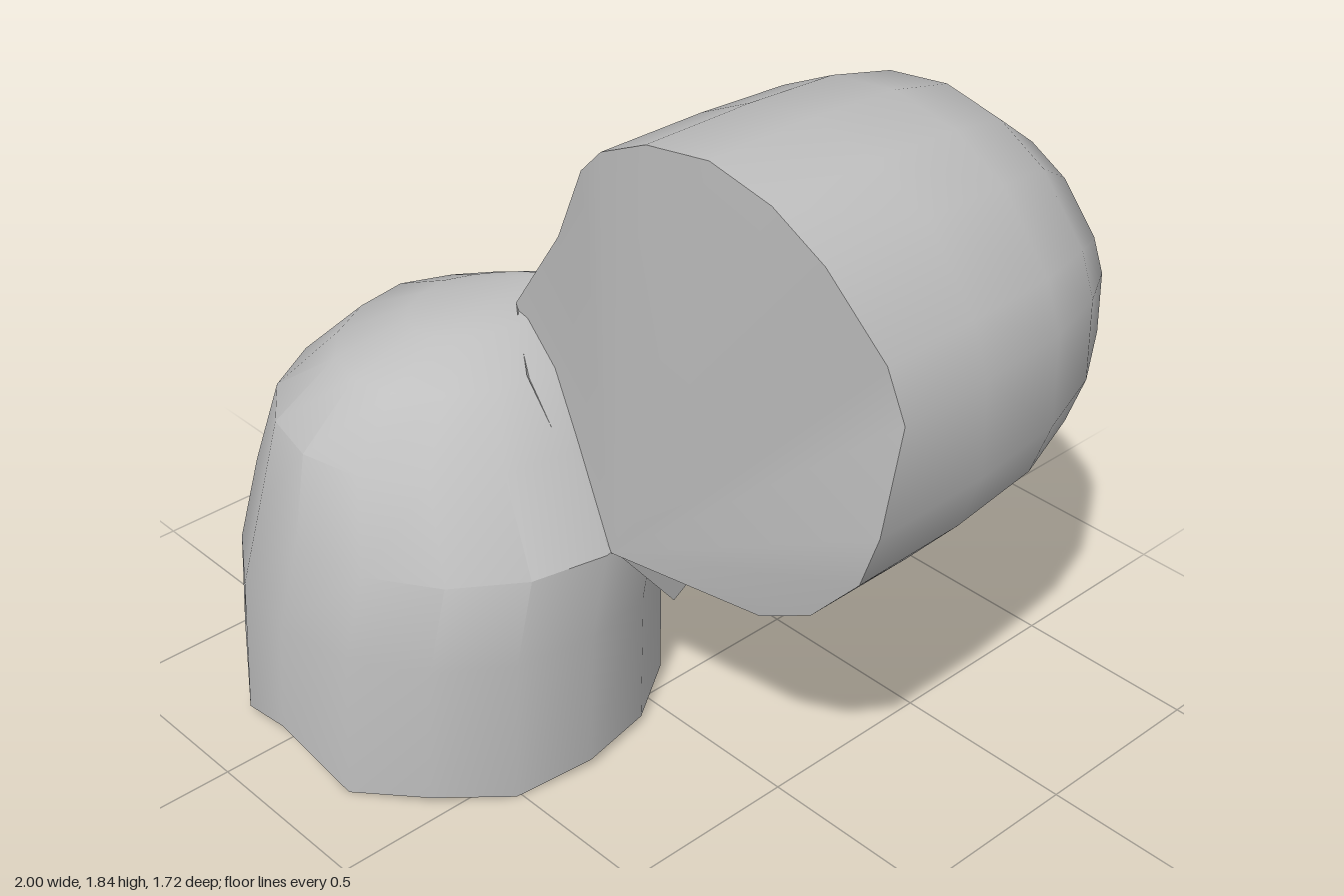
import * as THREE from 'three';
import { toCreasedNormals } from 'three/addons/utils/BufferGeometryUtils.js';
import { ConvexGeometry } from 'three/addons/geometries/ConvexGeometry.js';

const SIDES = 16;

// Skin a list of rings (counter-clockwise about the rising axis), fanning both ends
function loft(rings, startApex, endApex) {
  const n = rings[0].length, index = [];
  for (let j = 0; j < rings.length - 1; j++) {
    for (let i = 0; i < n; i++) {
      const a = j * n + i, b = j * n + (i + 1) % n;
      index.push(a, b, b + n, a, b + n, a + n);
    }
  }
  const last = (rings.length - 1) * n;
  for (let i = 1; i < n - 1; i++) {
    index.push(startApex, (startApex + i + 1) % n, (startApex + i) % n);
    index.push(last + endApex, last + (endApex + i) % n, last + (endApex + i + 1) % n);
  }
  const geo = new THREE.BufferGeometry();
  geo.setAttribute('position', new THREE.Float32BufferAttribute(rings.flat(2), 3));
  geo.setIndex(index);
  return toCreasedNormals(geo, 0.55);
}

export function createModel() {
  const group = new THREE.Group();
  const grey = new THREE.MeshStandardMaterial({ color: 0xbfbfbf });
  grey.name = 'plain grey';
  const add = (name, geo) => {
    const mesh = new THREE.Mesh(geo, grey);
    mesh.name = name;
    group.add(mesh);
  };

  // Upright stub: y, extents in x and z, flattening of the rear shoulder
  const levels = [
    [0.01, -1.0, 0.12, -0.26, 0.86, 0],
    [0.43, -0.98, 0.14, -0.24, 0.85, 0],
    [0.67, -0.94, 0.15, -0.27, 0.80, 0.03],
    [0.89, -0.87, 0.0, -0.25, 0.73, 0.12],
    [1.05, -0.71, -0.12, -0.17, 0.58, 0.16],
    [1.125, -0.54, -0.25, -0.02, 0.40, 0.16],
  ];
  // Uneven rim around the foot
  const rimLift = { 3: 0.08, 4: 0.15, 5: 0, 6: 0.08, 10: 0.13, 12: 0.1, 13: -0.01, 15: -0.01 };
  const upright = levels.map(([y, x0, x1, z0, z1, flat], level) =>
    Array.from({ length: SIDES }, (_, i) => {
      const a = (i / SIDES) * Math.PI * 2;
      const lift = level === 0 ? rimLift[i] ?? 0.015 : 0;
      const rear = a > Math.PI / 2 && a < Math.PI;
      const r = rear ? 1 + flat * Math.sin(2 * a) : 1;
      return [
        (x0 + x1) / 2 + ((x1 - x0) / 2) * r * Math.cos(a),
        y + lift,
        (z0 + z1) / 2 - ((z1 - z0) / 2) * r * Math.sin(a),
      ];
    }));
  add('uprightStub', loft(upright, 0, 4));

  // Front outline of the sideways stub, drawn out toward the upright one
  const outline = [
    [1.0, 1.15, 0.24], [0.99, 1.4, 0.17], [0.94, 1.53, 0.18], [0.79, 1.72, 0.22],
    [0.63, 1.8, 0.22], [0.44, 1.835, 0.22], [0.24, 1.8, 0.22], [0.08, 1.72, 0.21],
    [0.0, 1.64, 0.2], [-0.12, 1.41, 0.17], [-0.31, 1.14, 0.15], [-0.13, 1.06, 0.27],
    [0.15, 0.67, 0.25], [0.46, 0.7, 0.22], [0.63, 0.73, 0.22], [0.79, 0.82, 0.22],
    [0.94, 0.99, 0.23],
  ];
  // Rounded sections from the back: z, extents in x and y, share of the front outline
  const sections = [
    [-0.86, 0.35, 0.45, 1.2, 1.34, 0],
    [-0.81, 0.19, 0.66, 1.02, 1.47, 0],
    [-0.73, 0.02, 0.81, 0.89, 1.63, 0],
    [-0.57, -0.1, 0.9, 0.77, 1.75, 0.1],
    [-0.38, -0.15, 0.95, 0.71, 1.79, 0.35],
    [-0.1, -0.13, 0.97, 0.68, 1.82, 0.8],
  ];
  const sideways = sections.map(([z, x0, x1, y0, y1, share]) =>
    outline.map(([px, py]) => {
      const a = Math.atan2(py - 1.26, px - 0.42);
      const x = (x0 + x1) / 2 + ((x1 - x0) / 2) * Math.cos(a);
      const y = (y0 + y1) / 2 + ((y1 - y0) / 2) * Math.sin(a);
      return [x + (px - x) * share, y + (py - y) * share, z];
    }));
  sideways.push(outline);
  add('sidewaysStub', loft(sideways, 0, 12));

  // Neck filling the corner where the stubs meet
  const neck = [
    [0.13, 0.4, 0.02], [0.24, 0.64, -0.08], [0.15, 0.67, 0.24], [0.02, 0.45, -0.1],
    [0.2, 0.65, -0.16], [0.08, 0.74, -0.28], [-0.12, 0.55, -0.21], [-0.24, 0.9, -0.25],
    [-0.22, 1.09, -0.1], [0.1, 0.95, 0.1],
  ].map((p) => new THREE.Vector3(...p));
  add('neck', new ConvexGeometry(neck));

  return group;
}
